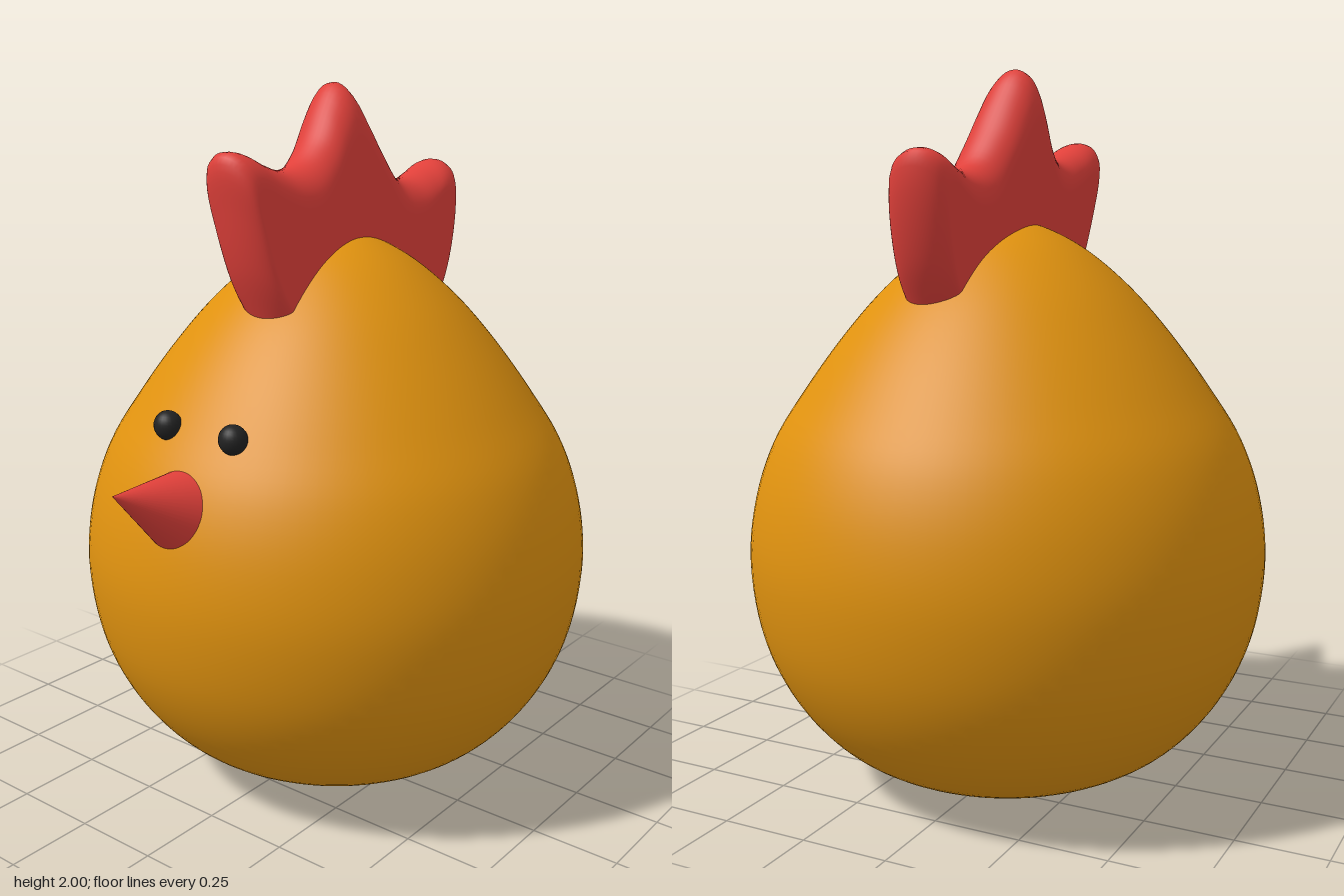
import * as THREE from 'three';

const colour = (name, hex) => {
  const m = new THREE.MeshStandardMaterial({ color: hex });
  m.name = name;
  return m;
};

// Pillow-shaped comb: a lobed outline in (z, y), rounded at its rim and flat toward a hidden spine
function combGeometry() {
  const outline = new THREE.CatmullRomCurve3([
    [0.24, 1.3], [0.29, 1.4], [0.34, 1.52], [0.375, 1.68], [0.388, 1.79], [0.375, 1.826], [0.33, 1.827],
    [0.25, 1.795], [0.17, 1.774], [0.1, 1.785], [0.03, 1.84], [-0.035, 1.935], [-0.075, 1.985], [-0.1, 2],
    [-0.125, 1.983], [-0.165, 1.92], [-0.22, 1.82], [-0.285, 1.738], [-0.36, 1.724], [-0.45, 1.748],
    [-0.52, 1.771], [-0.557, 1.76], [-0.562, 1.71], [-0.545, 1.61], [-0.5, 1.48], [-0.44, 1.38], [-0.38, 1.3],
  ].map(([z, y]) => new THREE.Vector3(0, y, z)), false, 'centripetal');
  const columns = 120, rim = 10, flat = 6, rows = 2 * (rim + flat);
  const positions = [], index = [];
  for (let i = 0; i <= columns; i++) {
    const p = outline.getPointAt(i / columns);
    const spine = new THREE.Vector3(0, 1.34, THREE.MathUtils.clamp(p.z * 0.6 - 0.03, -0.28, 0.15));
    const round = Math.min(0.7, (0.1 + 0.25 * Math.max(0, p.y - 1.83)) / p.distanceTo(spine));
    for (let j = 0; j <= rows; j++) {
      const k = Math.abs(j - rows / 2), side = Math.sign(rows / 2 - j);
      const a = Math.min(k / rim, 1) * Math.PI / 2;
      const f = k <= rim ? round * (1 - Math.cos(a)) : round + (1 - round) * (k - rim) / flat;
      const q = p.clone().lerp(spine, f);
      // slight sideways lean and wave
      const centre = 0.01 - 0.1 * (q.y - 1.5) + 0.028 * THREE.MathUtils.smoothstep(-q.z, 0.1, 0.35);
      positions.push(centre + side * 0.087 * Math.sin(a), q.y, q.z);
      if (i < columns && j < rows) {
        const v = i * (rows + 1) + j, w = v + rows + 1;
        index.push(v, w, v + 1, w, w + 1, v + 1);
      }
    }
  }
  const g = new THREE.BufferGeometry();
  g.setAttribute('position', new THREE.Float32BufferAttribute(positions, 3));
  g.setIndex(index);
  g.computeVertexNormals();
  return g;
}

export function createModel() {
  const model = new THREE.Group();
  const yellow = colour('golden yellow', 0xe0920f);
  const red = colour('comb red', 0xe0403a);
  const black = colour('eye black', 0x222222);

  const add = (name, geometry, material, x, y, z) => {
    const mesh = new THREE.Mesh(geometry, material);
    mesh.name = name;
    mesh.position.set(x, y, z);
    model.add(mesh);
    return mesh;
  };

  // Egg-shaped body
  const profile = new THREE.SplineCurve([
    [0, 0.003], [0.1, 0.006], [0.2, 0.016], [0.35, 0.05], [0.5, 0.135], [0.62, 0.27], [0.7, 0.44], [0.732, 0.64],
    [0.715, 0.82], [0.66, 0.985], [0.57, 1.13], [0.46, 1.28], [0.345, 1.41], [0.22, 1.515], [0.1, 1.578], [0, 1.597],
  ].map(([r, y]) => new THREE.Vector2(r, y)));
  const points = profile.getPoints(80);
  points[0].x = points[80].x = 0;
  add('body', new THREE.LatheGeometry(points, 96), yellow, 0, 0, -0.067);

  // Comb
  add('comb', combGeometry(), red, 0, 0, 0);

  // Beak: cone with its tip at the origin, pointing forward and slightly up
  const tip = new THREE.Vector3(-0.02, 1.025, 0.8);
  const base = new THREE.Vector3(-0.01, 0.94, 0.6);
  const cone = new THREE.ConeGeometry(0.118, 0.25, 48).translate(0, -0.125, 0);
  add('beak', cone, red, tip.x, tip.y, tip.z).quaternion.setFromUnitVectors(
    new THREE.Vector3(0, 1, 0), tip.clone().sub(base).normalize());

  // Eyes
  for (const [name, x] of [['leftEye', 0.114], ['rightEye', -0.117]]) {
    add(name, new THREE.SphereGeometry(0.04, 24, 16), black, x, 1.127, 0.505).scale.z = 0.92;
  }
  return model;
}
